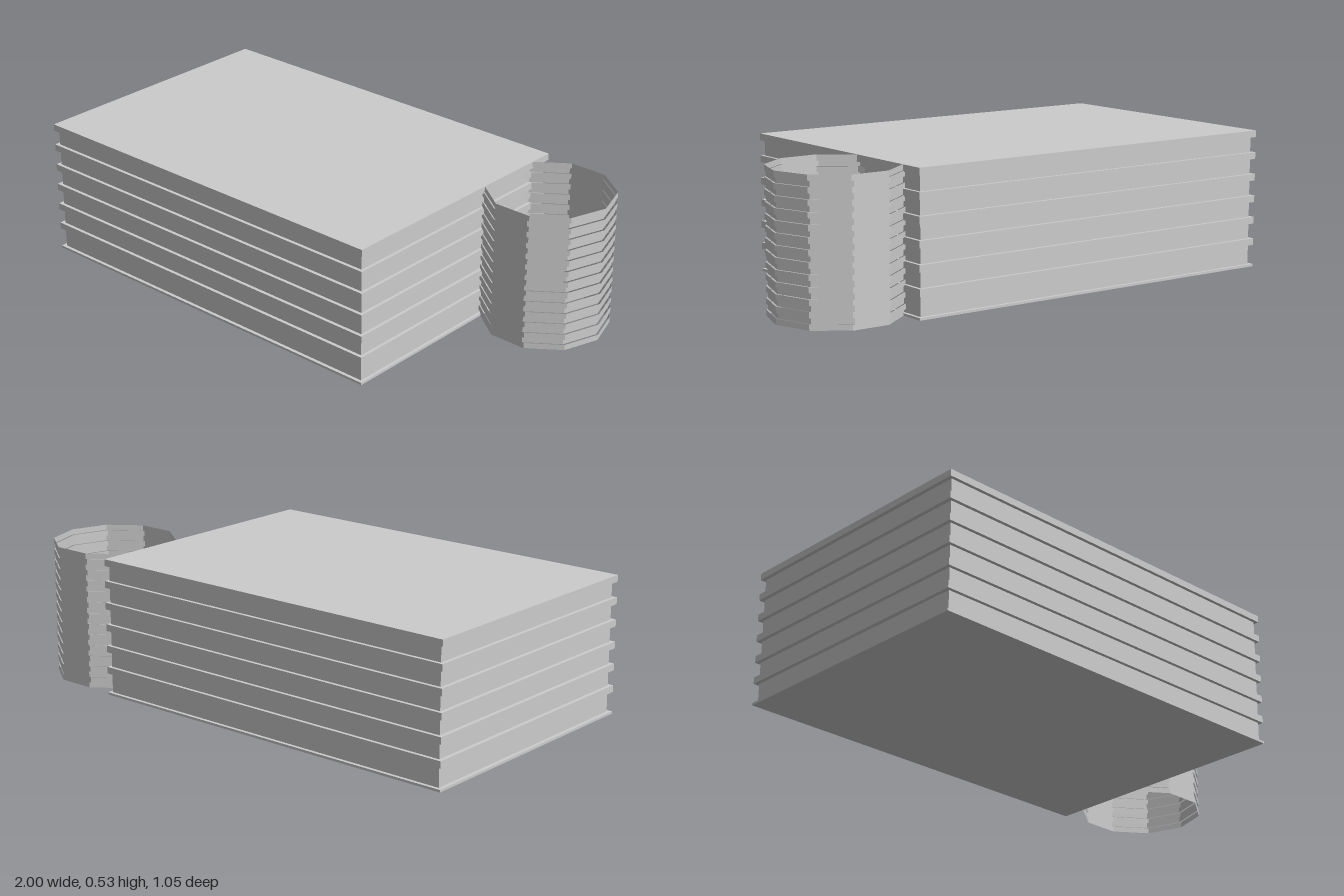
import * as THREE from 'three';

export function createModel() {
  const model = new THREE.Group();
  const grey = new THREE.MeshStandardMaterial({ color: 0xcccccc });
  const shellGrey = grey;
  shellGrey.side = THREE.DoubleSide;
  shellGrey.flatShading = true;

  const H = 0.53;

  function slab(name, x0, x1, y0, y1, halfZ) {
    const mesh = new THREE.Mesh(new THREE.BoxGeometry(x1 - x0, y1 - y0, 2 * halfZ), grey);
    mesh.position.set((x0 + x1) / 2, (y0 + y1) / 2, 0);
    mesh.name = name;
    model.add(mesh);
  }

  // Main block, slightly inset behind its floor bands
  slab('wallBlock', -0.985, 0.56, 0.005, H - 0.005, 0.512);
  slab('basePlate', -1, 0.572, 0, 0.009, 0.525);
  for (let i = 1; i <= 6; i++) {
    const top = 0.11 + (i - 1) * 0.084;
    slab(i === 6 ? 'roofSlab' : 'floorBand', -1, 0.572, top - 0.026, top, 0.525);
  }

  // Open ten-sided tower: stacked rings, alternately offset sideways
  const tower = new THREE.Group();
  tower.name = 'tower';
  const rings = 25, step = H / rings;
  for (let i = 0; i < rings; i++) {
    // Start at a quarter turn so one corner points along +x
    const geo = new THREE.CylinderGeometry(0.238, 0.238, step, 10, 1, true, Math.PI / 2);
    const ring = new THREE.Mesh(geo, shellGrey);
    ring.name = 'towerRing';
    ring.position.set(i % 2 ? 0.754 : 0.762, (i + 0.5) * step, -0.285);
    tower.add(ring);
  }
  model.add(tower);
  return model;
}
